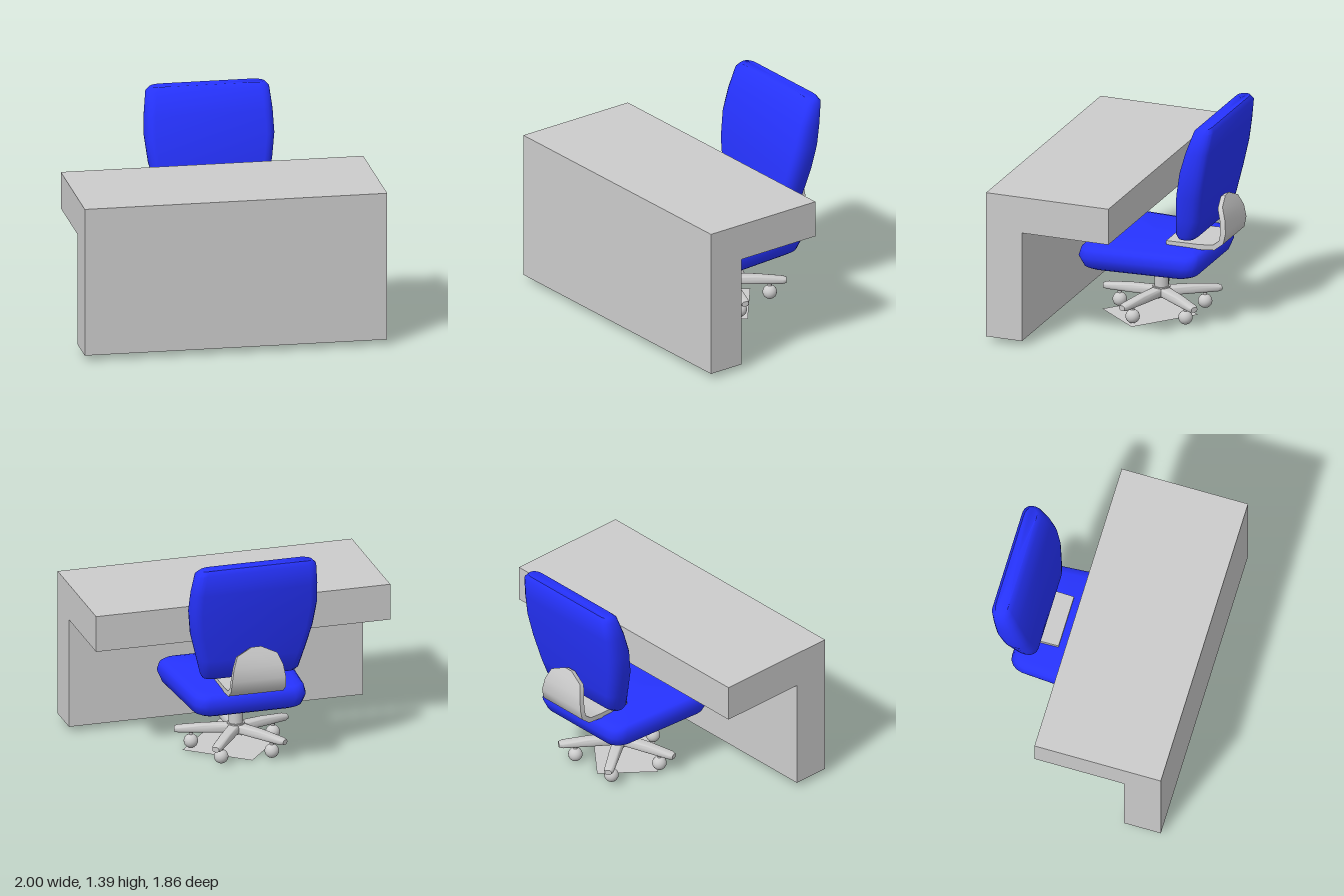
import * as THREE from 'three';
import { toCreasedNormals } from 'three/addons/utils/BufferGeometryUtils.js';

const grey = new THREE.MeshStandardMaterial({ color: 0xcccccc });
const greyThin = new THREE.MeshStandardMaterial({ color: 0xcccccc, side: THREE.DoubleSide });
const blue = new THREE.MeshStandardMaterial({ color: 0x2633ff });

function add(parent, name, geometry, material, x = 0, y = 0, z = 0) {
  const mesh = new THREE.Mesh(geometry, material);
  mesh.name = name;
  mesh.position.set(x, y, z);
  parent.add(mesh);
  return mesh;
}

// Closed solid through rings of equal point count, capped at both ends
function loft(rings, crease = 0.75) {
  const n = rings[0].length, pts = rings.flat(), index = [];
  for (let r = 0; r < rings.length - 1; r++) {
    for (let i = 0; i < n; i++) {
      const a = r * n + i, b = r * n + (i + 1) % n;
      index.push(a, a + n, b, b, a + n, b + n);
    }
  }
  const last = (rings.length - 1) * n;
  [[rings[0], 0], [rings[rings.length - 1], last]].forEach(([ring, start], end) => {
    const centre = ring.reduce((s, p) => s.add(p), new THREE.Vector3()).divideScalar(n);
    pts.push(centre);
    for (let i = 0; i < n; i++) {
      const a = start + i, b = start + (i + 1) % n;
      index.push(pts.length - 1, end ? b : a, end ? a : b);
    }
  });
  // turn the faces outward
  let volume = 0;
  for (let i = 0; i < index.length; i += 3) {
    volume += pts[index[i]].dot(pts[index[i + 1]].clone().cross(pts[index[i + 2]]));
  }
  if (volume < 0) index.reverse();
  const g = new THREE.BufferGeometry().setFromPoints(pts);
  g.setIndex(index);
  return toCreasedNormals(g, crease);
}

// Rounded rectangle of half width h between z0 and z1, as [x, z] pairs
function outline(h, z0, z1, cx, cz, steps = 4) {
  const out = [];
  [[1, 1], [-1, 1], [-1, -1], [1, -1]].forEach(([sx, sz], k) => {
    for (let i = 0; i <= steps; i++) {
      const t = (k + i / steps) * Math.PI / 2;
      const x = sx * (h - cx) + cx * Math.cos(t);
      const z = (sz > 0 ? z1 - cz : z0 + cz) + cz * Math.sin(t);
      out.push([x, z]);
    }
  });
  return out;
}

function buildDesk() {
  const desk = new THREE.Group();
  desk.name = 'desk';
  // L-shaped end profile: thick top over a front panel
  const profile = new THREE.Shape([
    [-0.41, 0.035], [-0.17, 0.035], [-0.17, 0.75], [0.41, 0.75], [0.41, 0.985], [-0.41, 0.985],
  ].map(([x, y]) => new THREE.Vector2(x, y)));
  const g = new THREE.ExtrudeGeometry(profile, { depth: 1.914, bevelEnabled: false });
  g.translate(0, 0, -0.957).rotateY(Math.PI / 2);
  add(desk, 'deskBody', g, grey);
  return desk;
}

function buildChair() {
  const chair = new THREE.Group();
  chair.name = 'chair';

  // seat cushion: inset at top and bottom, narrower toward the rear
  const seatRings = [[0.36, 0.05], [0.375, 0.025], [0.44, 0], [0.49, 0.012], [0.507, 0.03], [0.517, 0.07]]
    .map(([y, inset]) => outline(0.41 - inset, -0.77 + inset, 0.02 - inset, 0.09, 0.09)
      .map(([x, z]) => new THREE.Vector3(x * (1 - 0.12 * Math.max(0, (-0.3 - z) / 0.45)), y, z)));
  add(chair, 'seat', loft(seatRings, 1), blue);
  add(chair, 'seatMount', new THREE.BoxGeometry(0.36, 0.03, 0.4), blue, 0, 0.355, -0.4);

  // backrest: y, half width, rear z, front z, height of the central peak
  const backRings = [
    [0.61, 0.3, -0.725, -0.615, 0],
    [0.635, 0.315, -0.755, -0.605, 0],
    [0.75, 0.345, -0.785, -0.615, 0],
    [0.92, 0.39, -0.815, -0.635, 0],
    [1.08, 0.41, -0.845, -0.665, 0],
    [1.22, 0.405, -0.865, -0.705, 0],
    [1.355, 0.39, -0.882, -0.755, 0.02],
    [1.382, 0.365, -0.865, -0.785, 0.03],
  ].map(([y, h, z0, z1, peak]) => outline(h, z0, z1, 0.06, (z1 - z0) * 0.42)
    .map(([x, z]) => new THREE.Vector3(x, y + peak * (1 - Math.abs(x) / h), z)));
  add(chair, 'backrest', loft(backRings, 0.9), blue);

  // curved bracket from under the seat up behind the backrest: z, y, half width
  const path = [[-0.5, 0.525, 0.17], [-0.72, 0.53, 0.175], [-0.82, 0.54, 0.178], [-0.87, 0.58, 0.178],
    [-0.882, 0.64, 0.175], [-0.872, 0.72, 0.16], [-0.845, 0.79, 0.13], [-0.825, 0.835, 0.03]];
  const bracketRings = path.map(([z, y, h], i) => {
    const a = path[Math.max(i - 1, 0)], b = path[Math.min(i + 1, path.length - 1)];
    const tangent = new THREE.Vector2(b[0] - a[0], b[1] - a[1]).normalize();
    return [[-h, -1], [h, -1], [h, 1], [-h, 1]].map(([x, s]) =>
      new THREE.Vector3(x, y + s * 0.017 * tangent.x, z - s * 0.017 * tangent.y));
  });
  add(chair, 'backBracket', loft(bracketRings), grey);

  // pedestal
  const base = new THREE.Group();
  base.name = 'base';
  base.position.z = -0.4;
  chair.add(base);
  add(base, 'column', new THREE.CylinderGeometry(0.045, 0.045, 0.25, 20), grey, 0, 0.24, 0);
  add(base, 'hub', new THREE.CylinderGeometry(0.055, 0.06, 0.065, 20), grey, 0, 0.145, 0);

  // five legs with casters: distance, half width, bottom and top of each section
  const legRings = [[0, 0.038, 0.115, 0.172], [0.2, 0.034, 0.112, 0.166], [0.36, 0.03, 0.11, 0.152], [0.385, 0.022, 0.114, 0.146]]
    .map(([z, h, y0, y1]) => outline(h, y0, y1, 0.014, 0.016, 3).map(([x, y]) => new THREE.Vector3(x, y, z)));
  const legGeometry = loft(legRings, 1);
  const stemGeometry = new THREE.CylinderGeometry(0.013, 0.013, 0.05, 10);
  const ballGeometry = new THREE.SphereGeometry(0.045, 20, 14);
  for (let i = 0; i < 5; i++) {
    const leg = new THREE.Group();
    leg.name = 'leg' + (i + 1);
    leg.rotation.y = i * Math.PI * 2 / 5;
    add(leg, 'legArm', legGeometry, grey);
    add(leg, 'casterStem', stemGeometry, grey, 0, 0.1, 0.28);
    add(leg, 'caster', ballGeometry, grey, 0, 0.05, 0.28);
    base.add(leg);
  }
  return chair;
}

export function createModel() {
  const model = new THREE.Group();
  model.name = 'deskAndChair';

  // desk and chair share one turned axis
  const set = new THREE.Group();
  set.name = 'furniture';
  set.rotation.y = 0.691;
  const chair = buildChair();
  chair.position.x = 0.045;
  set.add(buildDesk(), chair);
  model.add(set);

  // flat sheet on the floor under the chair
  const sheet = new THREE.PlaneGeometry(0.47, 0.38).rotateX(-Math.PI / 2);
  add(model, 'floorSheet', sheet, greyThin, -0.16, 0, -0.3);
  return model;
}
